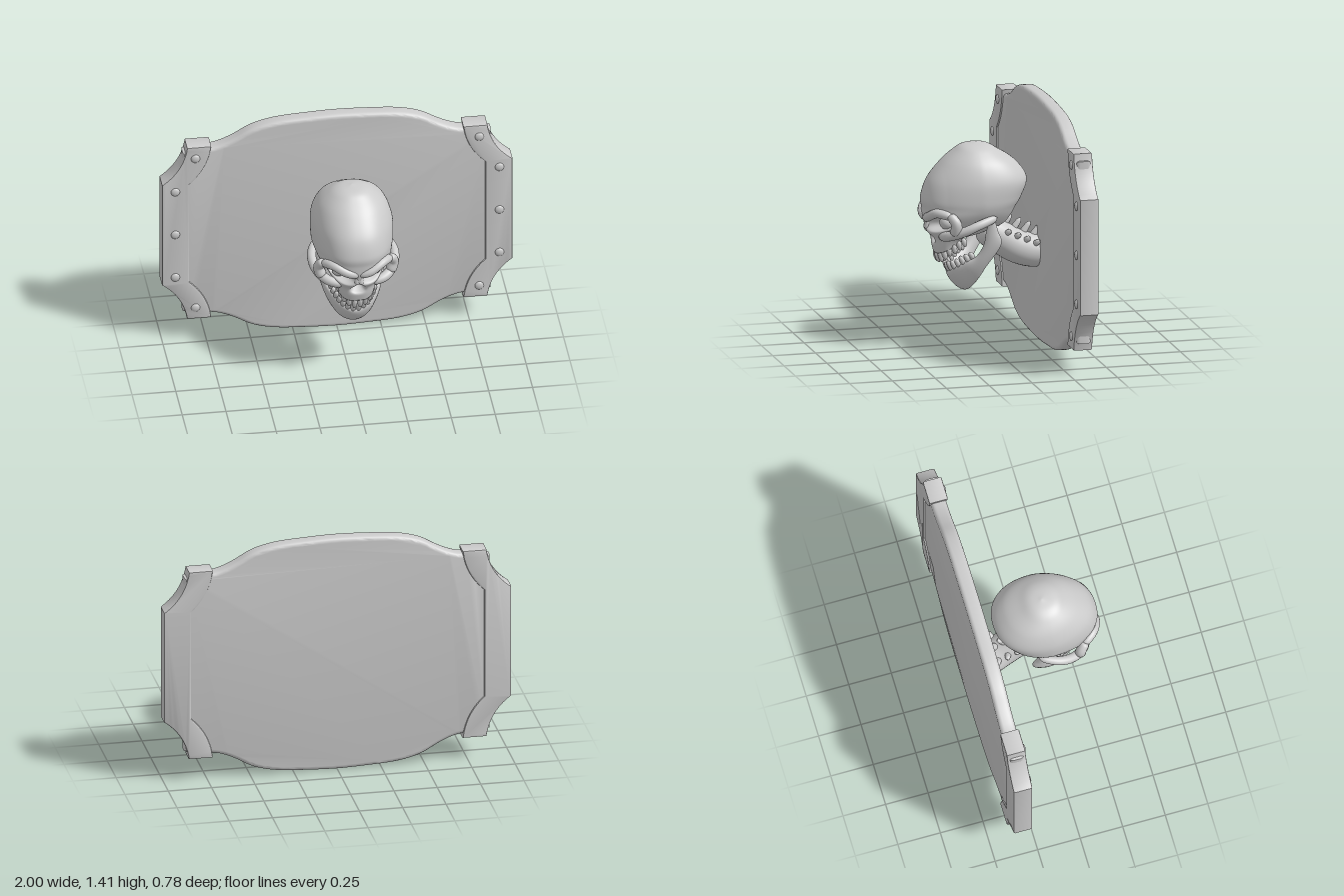
import * as THREE from 'three';
import { toCreasedNormals } from 'three/addons/utils/BufferGeometryUtils.js';

const grey = new THREE.MeshStandardMaterial({ color: 0xcccccc });
const V = (x, y, z) => new THREE.Vector3(x, y, z);
const spline = (pts) => new THREE.CatmullRomCurve3(pts.map((p) => V(...p)), false, 'catmullrom', 0.5);
const SIDES = [-1, 1];

function add(parent, name, geometry) {
  const mesh = new THREE.Mesh(geometry, grey);
  mesh.name = name;
  parent.add(mesh);
  return mesh;
}

// Closed skin over a list of rings, capped at both ends and wound outwards
function loft(rings) {
  const n = rings[0].length, last = (rings.length - 1) * n, pts = rings.flat(), idx = [];
  for (let i = 0; i < rings.length - 1; i++)
    for (let j = 0; j < n; j++) {
      const a = i * n + j, b = i * n + (j + 1) % n;
      idx.push(a, b, a + n, b, b + n, a + n);
    }
  const mean = (ring) => ring.reduce((s, p) => s.add(p), V(0, 0, 0)).divideScalar(n);
  const c = pts.length;
  pts.push(mean(rings[0]), mean(rings[rings.length - 1]));
  for (let j = 0; j < n; j++) {
    const k = (j + 1) % n;
    idx.push(c, k, j, c + 1, last + j, last + k);
  }
  let volume = 0;
  for (let i = 0; i < idx.length; i += 3)
    volume += pts[idx[i]].dot(V(0, 0, 0).crossVectors(pts[idx[i + 1]], pts[idx[i + 2]]));
  if (volume < 0) idx.reverse();
  const g = new THREE.BufferGeometry().setFromPoints(pts);
  g.setIndex(idx);
  g.computeVertexNormals();
  return g;
}

// Blade with an elliptical section spanning two edge curves
function blade(edgeA, edgeB, thick, steps = 64, n = 20) {
  const A = spline(edgeA), B = spline(edgeB), rings = [];
  for (let i = 0; i <= steps; i++) {
    const t = i / steps, a = A.getPoint(t), b = B.getPoint(t);
    const half = a.clone().sub(b).multiplyScalar(0.5), mid = a.add(b).multiplyScalar(0.5);
    const dir = A.getTangent(t).add(B.getTangent(t));
    const side = dir.cross(half).normalize().multiplyScalar(thick);
    rings.push(Array.from({ length: n }, (_, j) => {
      const q = (j / n) * Math.PI * 2;
      return mid.clone().addScaledVector(half, Math.cos(q)).addScaledVector(side, Math.sin(q));
    }));
  }
  return loft(rings);
}

// Rounded rod along a path, its radius running from r0 to r1
function rod(path, r0, r1, steps = 28, n = 14) {
  const curve = spline(path), f = curve.computeFrenetFrames(steps), rings = [];
  for (let i = 0; i <= steps; i++) {
    const t = i / steps, c = curve.getPointAt(t);
    const r = (r0 + (r1 - r0) * t) * Math.max(0.1, Math.sqrt(1 - Math.pow(2 * t - 1, 8)));
    rings.push(Array.from({ length: n }, (_, j) => {
      const q = (j / n) * Math.PI * 2;
      return c.clone().addScaledVector(f.normals[i], r * Math.cos(q)).addScaledVector(f.binormals[i], r * Math.sin(q));
    }));
  }
  return loft(rings);
}

function plate(shape, front, back, bevel, bevelSegments) {
  const g = new THREE.ExtrudeGeometry(shape, {
    depth: front - back - 2 * bevel, bevelThickness: bevel, bevelSize: bevel, bevelOffset: -bevel,
    bevelSegments, curveSegments: 14,
  });
  g.translate(0, 0, back + bevel);
  return toCreasedNormals(g, 0.6);
}

const MID = 0.713; // height of the plaque's axis of symmetry

function buildPlaque(root) {
  // Board with a wavy top and bottom
  const half = [[0.88, 0.53], [0.72, 0.55], [0.65, 0.568], [0.58, 0.6], [0.48, 0.655], [0.35, 0.688], [0.18, 0.701]];
  const top = [...half, [0, 0.707], ...half.map(([x, y]) => [-x, y]).reverse()];
  const wave = (pts) => new THREE.SplineCurve(pts.map((p) => new THREE.Vector2(...p))).getPoints(70);
  const outline = [...wave(top.map(([x, y]) => [x, MID + y])), ...wave(top.map(([x, y]) => [-x, MID - y]))];
  // the ends, hidden in the bands, are cut straight
  add(root, 'board', plate(new THREE.Shape(outline), -0.29, -0.38, 0.024, 4));

  for (const s of SIDES) {
    const band = new THREE.Group();
    band.name = s > 0 ? 'leftBand' : 'rightBand';
    root.add(band);
    const sh = new THREE.Shape();
    sh.moveTo(s * 0.72, MID + 0.572);
    sh.lineTo(s * 0.857, MID + 0.572);
    sh.quadraticCurveTo(s * 0.88, MID + 0.42, s, MID + 0.335);
    sh.lineTo(s, MID - 0.335);
    sh.quadraticCurveTo(s * 0.88, MID - 0.42, s * 0.857, MID - 0.572);
    sh.lineTo(s * 0.72, MID - 0.572);
    sh.quadraticCurveTo(s * 0.735, MID - 0.425, s * 0.845, MID - 0.325);
    sh.lineTo(s * 0.845, MID + 0.325);
    sh.quadraticCurveTo(s * 0.735, MID + 0.425, s * 0.72, MID + 0.572);
    add(band, 'bandPlate', plate(sh, -0.28, -0.39, 0.008, 2));
    for (const [x, y] of [[0.81, 0.498], [0.925, 0.285], [0.925, 0], [0.925, -0.285], [0.81, -0.498]]) {
      const rivet = add(band, 'rivet', new THREE.SphereGeometry(0.026, 20, 12));
      rivet.scale.z = 0.5;
      rivet.position.set(s * x, MID + y, -0.281);
    }
  }
}

// Braincase and face in one skin: rows of height, front, back and half width
function craniumGeometry() {
  const rows = [
    [1.185, 0.075, 0.065, 0.005], [1.172, 0.15, 0, 0.075], [1.14, 0.2, -0.055, 0.13], [1.075, 0.275, -0.15, 0.19],
    [0.98, 0.352, -0.215, 0.228], [0.88, 0.387, -0.185, 0.235], [0.82, 0.383, -0.15, 0.225],
    [0.77, 0.38, -0.125, 0.2], [0.72, 0.374, -0.085, 0.165], [0.69, 0.368, -0.01, 0.145],
    [0.65, 0.335, 0.09, 0.125], [0.6, 0.325, 0.13, 0.11], [0.56, 0.315, 0.15, 0.1],
  ];
  const F = spline(rows.map(([y, f]) => [0, y, f])), B = spline(rows.map(([y, , b, w]) => [w, y, b]));
  const steps = 110, n = 120, rings = [];
  const power = (v) => Math.sign(v) * Math.pow(Math.abs(v), 2 / 2.3);
  for (let i = 0; i <= steps; i++) {
    const f = F.getPoint(i / steps), b = B.getPoint(i / steps);
    rings.push(Array.from({ length: n }, (_, j) => {
      const q = (j / n) * Math.PI * 2;
      const p = V(b.x * power(Math.cos(q)), f.y, (f.z + b.z) / 2 + ((f.z - b.z) / 2) * power(Math.sin(q)));
      const ax = Math.abs(p.x), front = THREE.MathUtils.clamp((p.z - 0.08) / 0.2, 0, 1);
      // narrow temples, slanted eye sockets, triangular nose opening, rising palate
      p.x *= 1 - 0.1 * front * THREE.MathUtils.smoothstep(p.y, 0.75, 0.85);
      const eye = ((ax - 0.1) / 0.068) ** 2 + ((p.y - 0.752 - 0.25 * (ax - 0.1)) / 0.042) ** 2;
      const noseW = 0.012 + 0.4 * Math.max(0, 0.705 - p.y);
      const nose = (ax / noseW) ** 2 + ((p.y - 0.66) / 0.036) ** 2;
      p.z -= front * (0.11 * Math.exp(-eye * eye) + 0.08 * Math.exp(-nose * nose));
      p.y += Math.max(0, 0.31 - p.z) * 0.5 * (1 - THREE.MathUtils.smoothstep(p.y, 0.56, 0.68));
      return p;
    }));
  }
  return loft(rings);
}

function addTeeth(parent, name, arch, count, up) {
  const curve = spline(arch);
  for (let i = 0; i < count; i++) {
    const t = (i + 0.5) / count, centre = 1 - Math.abs(2 * t - 1);
    const tooth = add(parent, name, new THREE.SphereGeometry(1, 10, 8));
    tooth.position.copy(curve.getPointAt(t));
    tooth.scale.set(0.016, 0.026 + 0.012 * centre + (i % 3) * 0.003, 0.016);
    tooth.rotation.x = up ? 0.5 : 0.25;
  }
}

function buildSkull(root) {
  const skull = new THREE.Group();
  skull.name = 'skull';
  skull.position.x = 0.03;
  root.add(skull);
  add(skull, 'cranium', craniumGeometry());

  const pair = (name, path, r0, r1) => {
    for (const s of SIDES) add(skull, name, rod(path.map(([x, y, z]) => [s * x, y, z]), r0, r1));
  };
  pair('browRidge', [[0.0, 0.758, 0.362], [0.07, 0.783, 0.366], [0.14, 0.815, 0.332], [0.195, 0.8, 0.26]], 0.026, 0.026);
  pair('eyeRim', [[0.19, 0.815, 0.275], [0.214, 0.76, 0.24], [0.195, 0.695, 0.245]], 0.026, 0.034);
  pair('cheekbone', [[0.08, 0.665, 0.3], [0.165, 0.685, 0.27], [0.22, 0.715, 0.2], [0.235, 0.755, 0.11], [0.2, 0.785, 0.0]], 0.03, 0.024);
  pair('nasalBone', [[0.006, 0.77, 0.345], [0.009, 0.73, 0.355], [0.012, 0.695, 0.362]], 0.018, 0.014);
  for (const s of SIDES) add(skull, 'eyeball', new THREE.SphereGeometry(0.04, 24, 16)).position.set(s * 0.103, 0.752, 0.27);

  // Lower jaw: half of each edge curve, mirrored across the chin
  const whole = (h) => [...h, ...h.slice(0, -1).reverse().map(([x, y, z]) => [-x, y, z])];
  const gum = [[0.18, 0.78, 0.035], [0.18, 0.7, 0.058], [0.172, 0.62, 0.072], [0.145, 0.55, 0.11], [0.112, 0.515, 0.17], [0.068, 0.475, 0.222], [0, 0.45, 0.24]];
  const base = [[0.18, 0.775, 0.01], [0.18, 0.7, -0.012], [0.172, 0.62, -0.032], [0.145, 0.495, 0.045], [0.112, 0.41, 0.09], [0.06, 0.35, 0.125], [0, 0.337, 0.145]];
  add(skull, 'lowerJaw', blade(whole(gum), whole(base), 0.024, 90));

  addTeeth(skull, 'upperTooth', whole([[0.098, 0.635, 0.15], [0.095, 0.6, 0.215], [0.07, 0.56, 0.275], [0, 0.535, 0.3]]), 14, false);
  addTeeth(skull, 'lowerTooth', whole([[0.13, 0.56, 0.115], [0.108, 0.525, 0.17], [0.066, 0.487, 0.22], [0, 0.465, 0.238]]), 14, true);

  // Neck running back into the board, with spiny vertebrae along its top
  add(skull, 'neck', rod([[0, 0.7, 0.05], [0, 0.635, -0.05], [-0.01, 0.565, -0.16], [-0.03, 0.53, -0.26], [-0.03, 0.525, -0.36]], 0.09, 0.1, 36, 28));
  for (let i = 0; i < 4; i++) {
    const y = 0.685 - 0.025 * i, z = -0.09 - 0.058 * i, x = -0.007 * i;
    add(skull, 'vertebra', rod([[x, y - 0.07, z + 0.03], [x, y, z], [x, y + 0.065, z - 0.045]], 0.032, 0.014, 12, 8));
    for (const s of SIDES)
      add(skull, 'vertebraWing', rod([[x, y - 0.04, z], [x + s * 0.06, y - 0.03, z], [x + s * 0.105, y - 0.005, z - 0.015]], 0.024, 0.015, 12, 8));
  }
}

export function createModel() {
  const root = new THREE.Group();
  root.name = 'skullPlaque';
  buildPlaque(root);
  buildSkull(root);
  return root;
}
